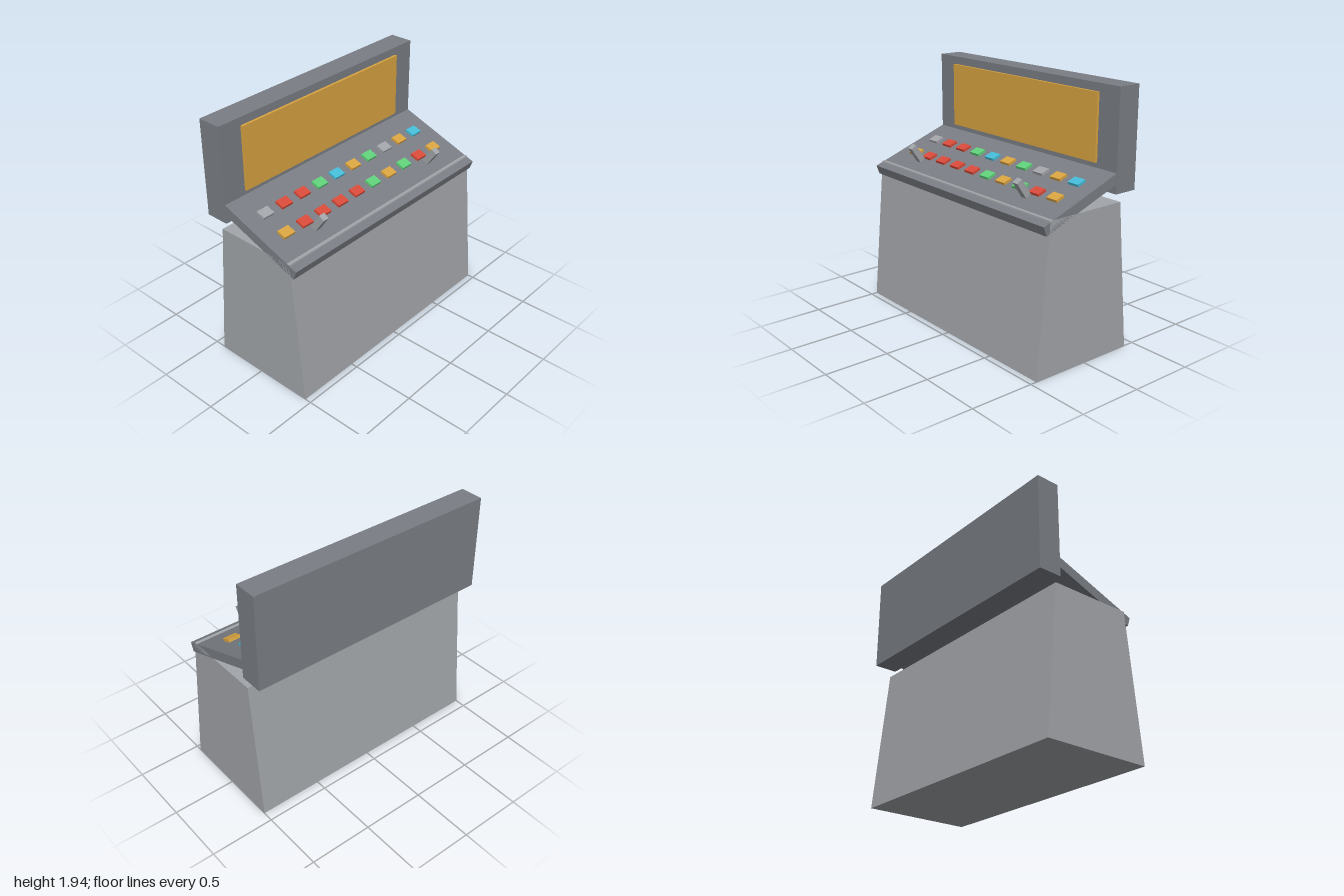
import * as THREE from 'three';

const material = (name, color) => {
  const m = new THREE.MeshStandardMaterial({ color });
  m.name = name;
  return m;
};

export function createModel() {
  const group = new THREE.Group();
  const lightGrey = material('light grey', 0xa2a5a9);
  const darkGrey = material('dark grey', 0x7a7e84);
  const amber = material('amber', 0xd9a441);
  const red = material('red', 0xd94a3a);
  const green = material('green', 0x5fd07a);
  const cyan = material('cyan', 0x45bcd8);

  const box = (name, size, pos, mat, parent = group) => {
    const mesh = new THREE.Mesh(new THREE.BoxGeometry(...size), mat);
    mesh.name = name;
    mesh.position.set(...pos);
    parent.add(mesh);
    return mesh;
  };

  // Tapered pedestal: side profile (z, y) extruded across the full width
  const profile = new THREE.Shape([
    [0.452, 0], [0.346, 1.128], [-0.31, 1.128], [-0.417, 0],
  ].map(([z, y]) => new THREE.Vector2(-z, y)));
  const baseGeometry = new THREE.ExtrudeGeometry(profile, { depth: 2, bevelEnabled: false });
  baseGeometry.translate(0, 0, -1).rotateY(Math.PI / 2);
  const base = new THREE.Mesh(baseGeometry, lightGrey);
  base.name = 'base';
  group.add(base);

  // Upright display housing and its screen
  box('displayHousing', [2, 0.748, 0.185], [0, 1.564, -0.3565], darkGrey);
  box('screen', [1.62, 0.497, 0.03], [0, 1.6285, -0.259], amber);

  // Sloping desk: local origin at its top front edge, local -z runs up the slope
  const slope = THREE.MathUtils.degToRad(20);
  const desk = new THREE.Group();
  desk.name = 'controlDesk';
  desk.position.set(0, 1.097, 0.405);
  desk.rotation.x = slope;
  group.add(desk);
  box('deskPanel', [2, 0.074, 0.78], [0, -0.037, -0.39], darkGrey, desk);

  // Two rows of push buttons
  const rows = [
    { z: -0.059, colors: [lightGrey, red, red, green, cyan, amber, green, lightGrey, amber, cyan] },
    { z: 0.139, colors: [amber, red, red, red, red, green, amber, green, red, amber] },
  ];
  for (const { z, colors } of rows) {
    const along = (z - 0.405) / Math.cos(slope) - 0.007;
    colors.forEach((mat, i) =>
      box('button', [0.1, 0.03, 0.075], [-0.816 + i * 0.1815, 0.005, along], mat, desk));
  }

  // Pair of levers leaning forward
  for (const side of [-1, 1]) {
    const lever = box(side > 0 ? 'leftLever' : 'rightLever',
      [0.05, 0.143, 0.05], [side * 0.624, 1.251, 0.269], lightGrey);
    lever.rotation.x = 0.6;
  }

  return group;
}
